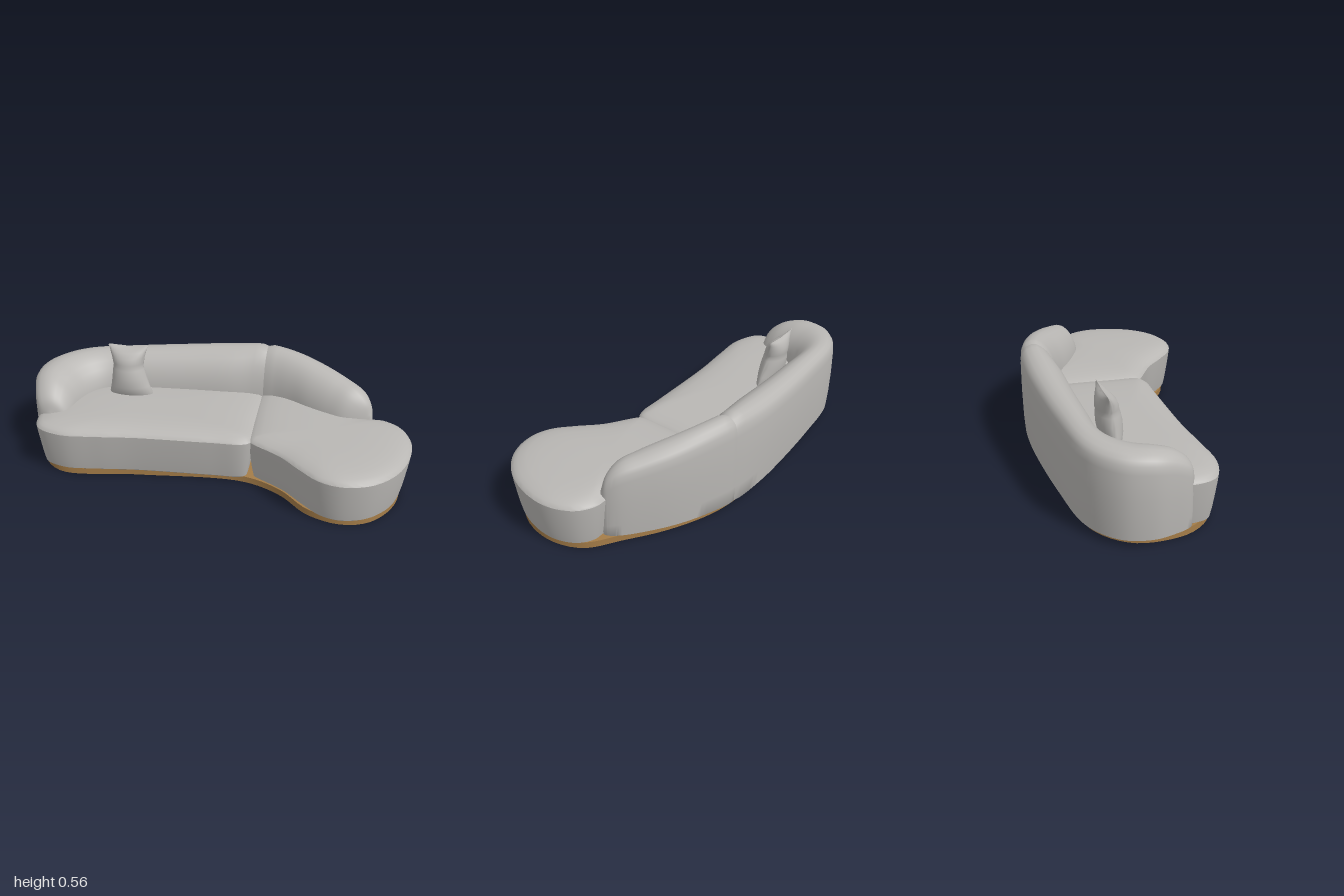
import * as THREE from 'three';
import { toCreasedNormals } from 'three/addons/utils/BufferGeometryUtils.js';

const fabric = new THREE.MeshStandardMaterial({ color: 0xb9b7b4 });
fabric.name = 'grey fabric';
const wood = new THREE.MeshStandardMaterial({ color: 0xa47c48 });
wood.name = 'oak wood';

const V = (x, y, z) => new THREE.Vector3(x, y, z);

// Skin closed rings of equal length and close both ends; faces always point outward
function loft(rings, crease = 0.7) {
  const n = rings[0].length, pos = [], idx = [];
  rings.forEach(r => r.forEach(p => pos.push(p)));
  for (let i = 0; i < rings.length - 1; i++) {
    for (let j = 0; j < n; j++) {
      const a = i * n + j, b = i * n + (j + 1) % n;
      idx.push(a, b, a + n, b, b + n, a + n);
    }
  }
  const cap = (k, flip) => {
    const c = pos.length;
    pos.push(rings[k].reduce((s, p) => s.add(p), V(0, 0, 0)).divideScalar(n));
    for (let j = 0; j < n; j++) {
      const a = k * n + j, b = k * n + (j + 1) % n;
      idx.push(c, flip ? b : a, flip ? a : b);
    }
  };
  cap(0, true);
  cap(rings.length - 1, false);
  let volume = 0;
  for (let i = 0; i < idx.length; i += 3) {
    volume += pos[idx[i]].dot(V(0, 0, 0).crossVectors(pos[idx[i + 1]], pos[idx[i + 2]]));
  }
  if (volume < 0) idx.reverse();
  const g = new THREE.BufferGeometry().setFromPoints(pos);
  g.setIndex(idx);
  return toCreasedNormals(g, crease);
}

function add(group, name, geometry, material) {
  const mesh = new THREE.Mesh(geometry, material);
  mesh.name = name;
  group.add(mesh);
}

const planCurve = pts =>
  new THREE.CatmullRomCurve3(pts.map(([x, z]) => V(x, 0, z)), true, 'centripetal');

// Upholstered seat block: leaning sides, a piped edge and a domed top
function seat(outline, cx, cz) {
  const curve = planCurve(outline), N = 120;
  const at = (inset, y, scale = 1) => Array.from({ length: N }, (_, i) => {
    const p = curve.getPointAt(i / N), t = curve.getTangentAt(i / N);
    const x = p.x + t.z * inset, z = p.z - t.x * inset;
    return V(cx + (x - cx) * scale, y, cz + (z - cz) * scale);
  });
  return loft([
    at(0.04, 0.027), at(0.031, 0.035), at(0.022, 0.08), at(0.012, 0.15), at(0.004, 0.21),
    at(0.001, 0.24), at(0.0, 0.25), at(0.004, 0.257), at(0.018, 0.266), at(0.035, 0.275),
    at(0.035, 0.284, 0.9), at(0.035, 0.291, 0.75), at(0.035, 0.295, 0.5), at(0.035, 0.296, 0.2)
  ], 0.6);
}

// Backrest stations: outer x, outer z, inner x, inner z, height
const stations = [
  [-0.89, 0.078, -0.84, 0.078, 0.27], [-0.945, 0.05, -0.785, 0.055, 0.35],
  [-0.98, -0.03, -0.765, 0.0, 0.41], [-1.0, -0.13, -0.75, -0.07, 0.44],
  [-0.975, -0.25, -0.715, -0.15, 0.45], [-0.9, -0.34, -0.66, -0.21, 0.456],
  [-0.78, -0.405, -0.58, -0.245, 0.463], [-0.5, -0.45, -0.42, -0.252, 0.476],
  [-0.2, -0.48, -0.2, -0.26, 0.492], [0.02, -0.49, 0.02, -0.265, 0.507],
  [0.23, -0.475, 0.21, -0.285, 0.52], [0.4, -0.425, 0.34, -0.235, 0.506],
  [0.55, -0.355, 0.45, -0.165, 0.477], [0.67, -0.275, 0.55, -0.11, 0.447],
  [0.76, -0.2, 0.63, -0.077, 0.415], [0.795, -0.15, 0.71, -0.078, 0.36],
  [0.8, -0.118, 0.76, -0.092, 0.29]
];
// Cross-section from outer foot over the rolled top to inner foot: across, up
const section = [
  [0.1, 0], [0.05, 0.02], [0.02, 0.2], [0, 0.5], [0, 0.8], [0.02, 0.89], [0.07, 0.94],
  [0.16, 0.975], [0.3, 0.997], [0.44, 0.995], [0.58, 0.965], [0.72, 0.91], [0.84, 0.83],
  [0.93, 0.73], [0.98, 0.62], [1, 0.5], [0.98, 0.25], [0.95, 0]
];
const outerPath = new THREE.CatmullRomCurve3(stations.map(s => V(s[0], s[4], s[1])), false, 'centripetal');
const innerPath = new THREE.CatmullRomCurve3(stations.map(s => V(s[2], s[4], s[3])), false, 'centripetal');

function backrest(from, to) {
  const rings = [], last = stations.length - 1, steps = (to - from) * 6;
  for (let i = 0; i <= steps; i++) {
    const k = from + i / 6;
    const o = outerPath.getPoint(k / last), n = innerPath.getPoint(k / last);
    // slight tuck where the two upholstered halves meet
    const tuck = Math.abs(k - 10) < 0.01 ? 0.03 : 0;
    rings.push(section.map(([u, v]) => {
      const a = tuck + u * (1 - 2 * tuck);
      return V(o.x + (n.x - o.x) * a, 0.028 + v * (o.y * (1 - tuck * 0.6) - 0.028), o.z + (n.z - o.z) * a);
    }));
  }
  return loft(rings, 0.75);
}

// Pillow rows: height, half width, half depth, centre x, centre z
function pillow() {
  const rows = [
    [0.28, 0.115, 0.03, -0.495, -0.185], [0.3, 0.118, 0.045, -0.495, -0.188],
    [0.34, 0.105, 0.058, -0.5, -0.193], [0.39, 0.094, 0.062, -0.505, -0.2],
    [0.435, 0.085, 0.058, -0.509, -0.206], [0.45, 0.081, 0.054, -0.51, -0.208],
    [0.465, 0.084, 0.056, -0.51, -0.211], [0.5, 0.09, 0.05, -0.511, -0.216],
    [0.53, 0.099, 0.034, -0.512, -0.224], [0.55, 0.106, 0.016, -0.513, -0.231],
    [0.556, 0.104, 0.005, -0.513, -0.234]
  ];
  return loft(rows.map(([y, w, d, cx, cz]) => Array.from({ length: 32 }, (_, i) => {
    const a = i / 32 * Math.PI * 2, c = Math.cos(a), s = Math.sin(a);
    const dip = Math.max(0, y - 0.48) * 0.16 * (1 - c * c);
    return V(cx + w * c, y - dip, cz + d * Math.sign(s) * Math.abs(s) ** 1.25);
  })), 0.8);
}

export function createModel() {
  const sofa = new THREE.Group();
  sofa.name = 'curvedSofa';

  // Low wooden plinth
  const plan = planCurve([
    [-0.955, -0.08], [-0.92, 0.08], [-0.8, 0.19], [-0.4, 0.165], [0.15, 0.15], [0.35, 0.24],
    [0.5, 0.385], [0.66, 0.44], [0.8, 0.405], [0.92, 0.26], [0.955, 0.08], [0.9, -0.08],
    [0.75, -0.19], [0.55, -0.32], [0.3, -0.42], [0, -0.445], [-0.5, -0.415], [-0.8, -0.35], [-0.93, -0.22]
  ]).getSpacedPoints(120).slice(0, -1);
  const plinth = new THREE.ExtrudeGeometry(
    new THREE.Shape(plan.map(p => new THREE.Vector2(p.x, -p.z))),
    { depth: 0.034, bevelEnabled: false });
  plinth.rotateX(-Math.PI / 2);
  add(sofa, 'plinth', toCreasedNormals(plinth, 0.6), wood);

  // Long seat and rounded chaise, overlapping a little at the seam
  add(sofa, 'longSeat', seat([
    [-0.94, 0.09], [-0.91, 0.175], [-0.78, 0.23], [-0.6, 0.222], [-0.4, 0.203], [0, 0.193],
    [0.15, 0.188], [0.195, 0.16], [0.212, 0], [0.225, -0.28], [0.19, -0.38], [-0.2, -0.4],
    [-0.6, -0.36], [-0.85, -0.22], [-0.93, -0.02]
  ], -0.35, -0.06), fabric);
  add(sofa, 'chaiseSeat', seat([
    [0.185, 0.155], [0.22, 0.185], [0.35, 0.27], [0.45, 0.37], [0.55, 0.455], [0.66, 0.485],
    [0.8, 0.45], [0.92, 0.335], [0.985, 0.17], [0.99, 0.03], [0.94, -0.085], [0.86, -0.14],
    [0.76, -0.15], [0.6, -0.26], [0.4, -0.36], [0.23, -0.4], [0.19, -0.3], [0.178, 0]
  ], 0.58, 0.05), fabric);

  // Wraparound backrest in two halves
  add(sofa, 'longBackrest', backrest(0, 10), fabric);
  add(sofa, 'chaiseBackrest', backrest(10, 16), fabric);

  add(sofa, 'pillow', pillow(), fabric);
  return sofa;
}
